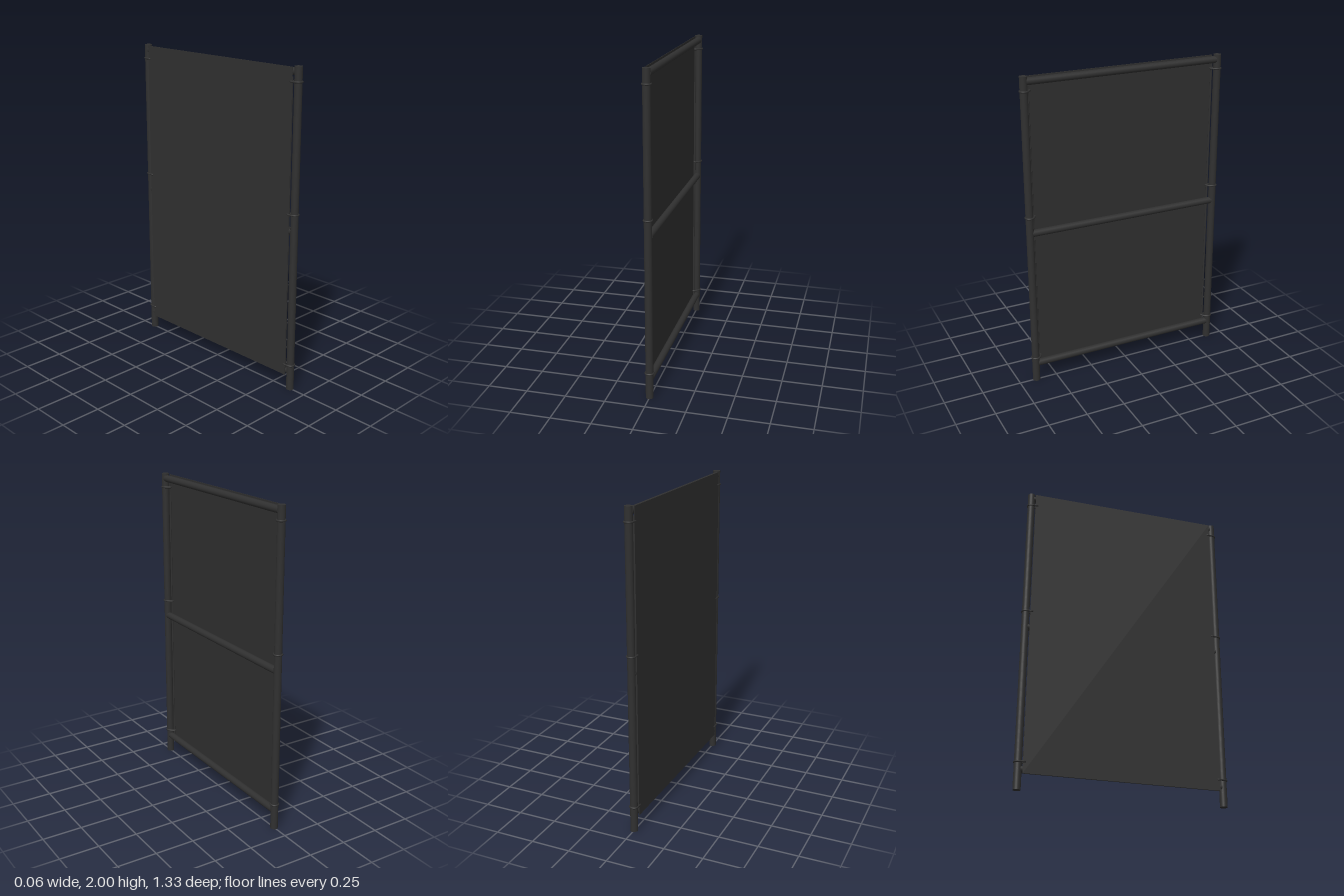
import * as THREE from 'three';

export function createModel() {
  const model = new THREE.Group();
  const steel = new THREE.MeshStandardMaterial({ color: 0x303030 });
  const sheet = new THREE.MeshStandardMaterial({ color: 0x303030, side: THREE.DoubleSide });

  const add = (name, geometry, material, x, y, z) => {
    const mesh = new THREE.Mesh(geometry, material);
    mesh.name = name;
    mesh.position.set(x, y, z);
    model.add(mesh);
    return mesh;
  };

  // Horizontal rails between the posts
  for (const [name, y] of [['bottomRail', 0.122], ['middleRail', 1.03], ['topRail', 1.968]]) {
    add(name, new THREE.CylinderGeometry(0.022, 0.022, 1.25, 24), steel, 0, y, 0).rotation.x = Math.PI / 2;
  }

  // Thin screen on the -x face of the rails
  add('screenPanel', new THREE.BoxGeometry(0.003, 1.9, 1.226), sheet, -0.022, 1.045, 0);

  for (const side of [1, -1]) {
    const label = side > 0 ? 'front' : 'back';

    // Upright post
    add(label + 'Post', new THREE.CylinderGeometry(0.0235, 0.0235, 2, 24), steel, 0, 1, side * 0.638);

    // Slim stiffening rod along the screen edge
    add(label + 'EdgeRod', new THREE.CylinderGeometry(0.006, 0.006, 1.81, 10), steel, -0.016, 1.035, side * 0.607);

    // Tie loops binding the screen edge to the post
    const loop = new THREE.CatmullRomCurve3([
      [0, 0.661], [0.017, 0.655], [0.024, 0.638], [0.018, 0.62], [0, 0.604],
      [-0.014, 0.596], [-0.024, 0.603], [-0.024, 0.62], [-0.024, 0.638], [-0.017, 0.655],
    ].map(([x, z]) => new THREE.Vector3(x, 0, side * z)), true);
    for (const y of [0.165, 1.135, 1.912]) {
      add(label + 'Tie', new THREE.TubeGeometry(loop, 40, 0.006, 8, true), steel, 0, y, 0);
    }
  }
  return model;
}
